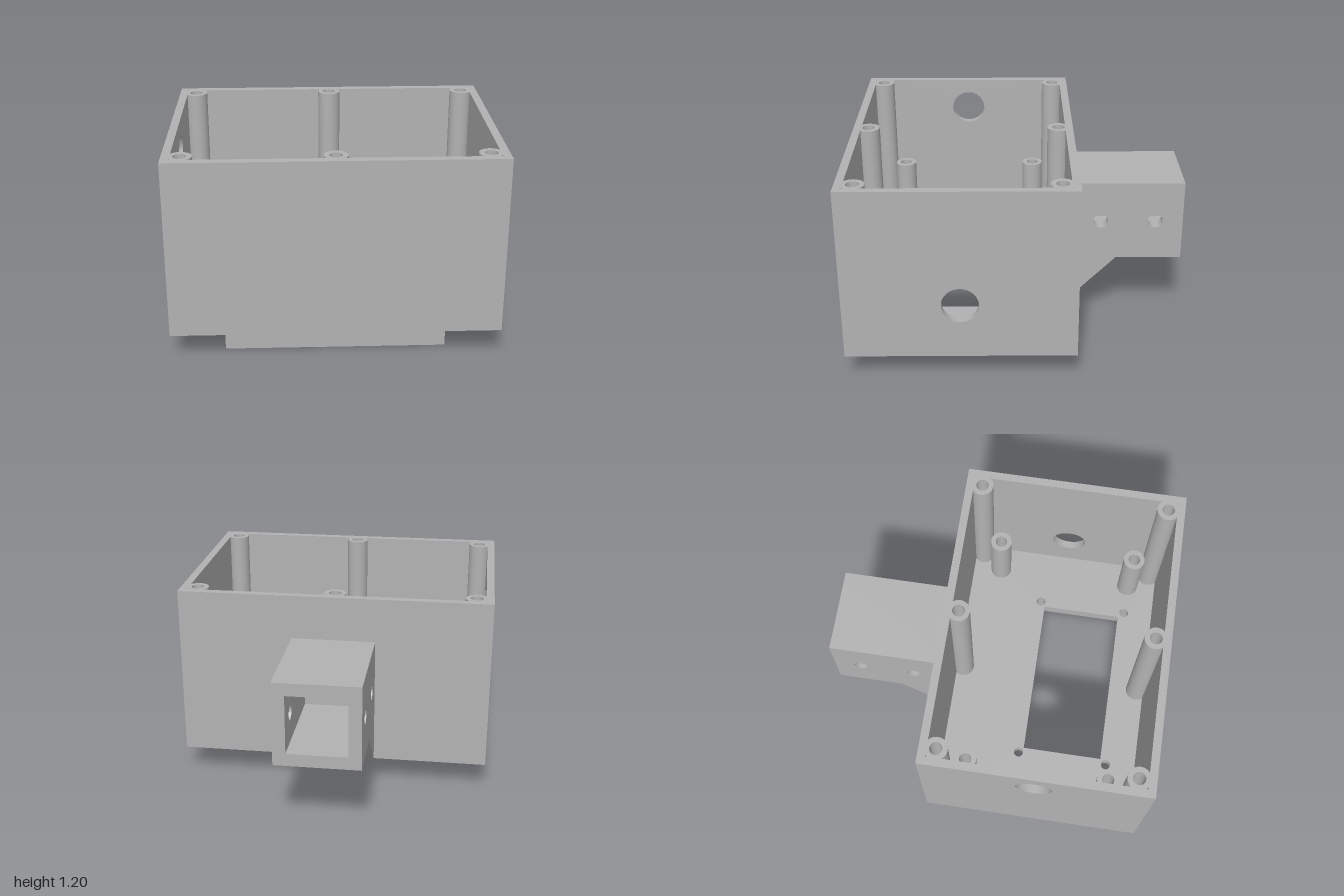
import * as THREE from 'three';
import { toCreasedNormals } from 'three/addons/utils/BufferGeometryUtils.js';

export function createModel() {
  const model = new THREE.Group();
  const grey = new THREE.MeshStandardMaterial({ color: 0xb2b2b2 });
  grey.name = 'plain grey';

  const add = (name, geo, x = 0, y = 0, z = 0) => {
    const mesh = new THREE.Mesh(geo, grey);
    mesh.name = name;
    mesh.position.set(x, y, z);
    model.add(mesh);
  };

  // Box given by its minimum and maximum corners
  const block = (name, [x0, y0, z0], [x1, y1, z1]) =>
    add(name, new THREE.BoxGeometry(x1 - x0, y1 - y0, z1 - z0), (x0 + x1) / 2, (y0 + y1) / 2, (z0 + z1) / 2);

  // Flat plate outline with round holes [u, v, radius] and other cut-outs
  const outline = (points, holes = [], cutouts = []) => {
    const shape = new THREE.Shape(points.map((p) => new THREE.Vector2(...p)));
    for (const [u, v, r] of holes) shape.holes.push(new THREE.Path().absarc(u, v, r, 0, Math.PI * 2, true));
    for (const c of cutouts) shape.holes.push(new THREE.Path(c.map((p) => new THREE.Vector2(...p))));
    return shape;
  };
  const rect = (u0, v0, u1, v1) => [[u0, v0], [u1, v0], [u1, v1], [u0, v1]];
  const extrude = (shape, depth) =>
    toCreasedNormals(new THREE.ExtrudeGeometry(shape, { depth, bevelEnabled: false, curveSegments: 24 }), 0.6);

  // Plate drawn in (z, y), spanning x0 to x1
  const sidePlate = (name, shape, x0, x1) =>
    add(name, extrude(shape, x1 - x0).rotateY(-Math.PI / 2), x1);
  // Plate drawn in (x, z), spanning y0 to y1
  const levelPlate = (name, shape, y0, y1) =>
    add(name, extrude(shape, y1 - y0).rotateX(Math.PI / 2), 0, y1);

  // Enclosure
  const W = 0.933, T = 0.047, back = -0.333, front = 1, base = 0.167, top = 1.2;
  const floorTop = base + 0.067;
  block('frontWall', [-W, base, front - T], [W, top, front]);
  block('backWall', [-W, base, back], [W, top, back + T]);
  // Cable holes sit low on the left wall and high on the right wall
  const sideOutline = rect(back + T, base, front - T, top);
  sidePlate('leftWall', outline(sideOutline, [[0.333, 0.5, 0.107]]), W - T, W);
  sidePlate('rightWall', outline(sideOutline, [[0.333, 1.005, 0.107]]), -W, -W + T);

  // Floor with window and four screw holes
  const screwHoles = [];
  for (const x of [-0.533, 0.533]) for (const z of [0.2, 0.767]) screwHoles.push([x, z, 0.03]);
  levelPlate('floor',
    outline(rect(-W + T, back + T, W - T, front - T), screwHoles, [rect(-0.5, 0.23, 0.5, 0.73)]),
    base, floorTop);

  // Collar below the window
  levelPlate('collar',
    outline(rect(-0.633, 0.1, 0.633, 0.867), [], [rect(-0.566, 0.167, 0.566, 0.8)]), 0, base);

  // Screw posts with blind holes
  const post = (name, x, z, height, depth) => {
    const profile = [[0.067, base + 0.01], [0.067, height], [0.037, height], [0.037, height - depth], [0, height - depth]];
    const geo = new THREE.LatheGeometry(profile.map((p) => new THREE.Vector2(...p)), 32);
    add(name, toCreasedNormals(geo, 0.6), x, 0, z);
  };
  for (const x of [-0.833, 0.833]) for (const z of [-0.235, 0.9]) post('cornerPost', x, z, top, 0.35);
  for (const z of [-0.245, 0.908]) post('middlePost', 0, z, top, 0.35);
  for (const x of [-0.735, 0.735]) for (const z of [-0.103, 0.767]) post('standoff', x, z, 0.66, 0.3);

  // Rear square socket with cross holes
  const A = 0.25, t = 0.075, end = -1, low = 0.435, high = 0.935;
  const cheek = [[back, base], [back, high], [end, high], [end, low], [-0.6, low]];
  const crossHoles = [[-0.5, 0.685, 0.045], [-0.833, 0.685, 0.045]];
  sidePlate('socketLeftSide', outline(cheek, crossHoles), A - t, A);
  sidePlate('socketRightSide', outline(cheek, crossHoles), -A, -A + t);
  block('socketTop', [-A + t, high - t, end], [A - t, high, back]);
  block('socketBottom', [-A + t, low, end], [A - t, low + t, back]);
  sidePlate('socketGusset', outline([[back, base], [back, low], [-0.6, low]]), -A + t, A - t);

  return model;
}
